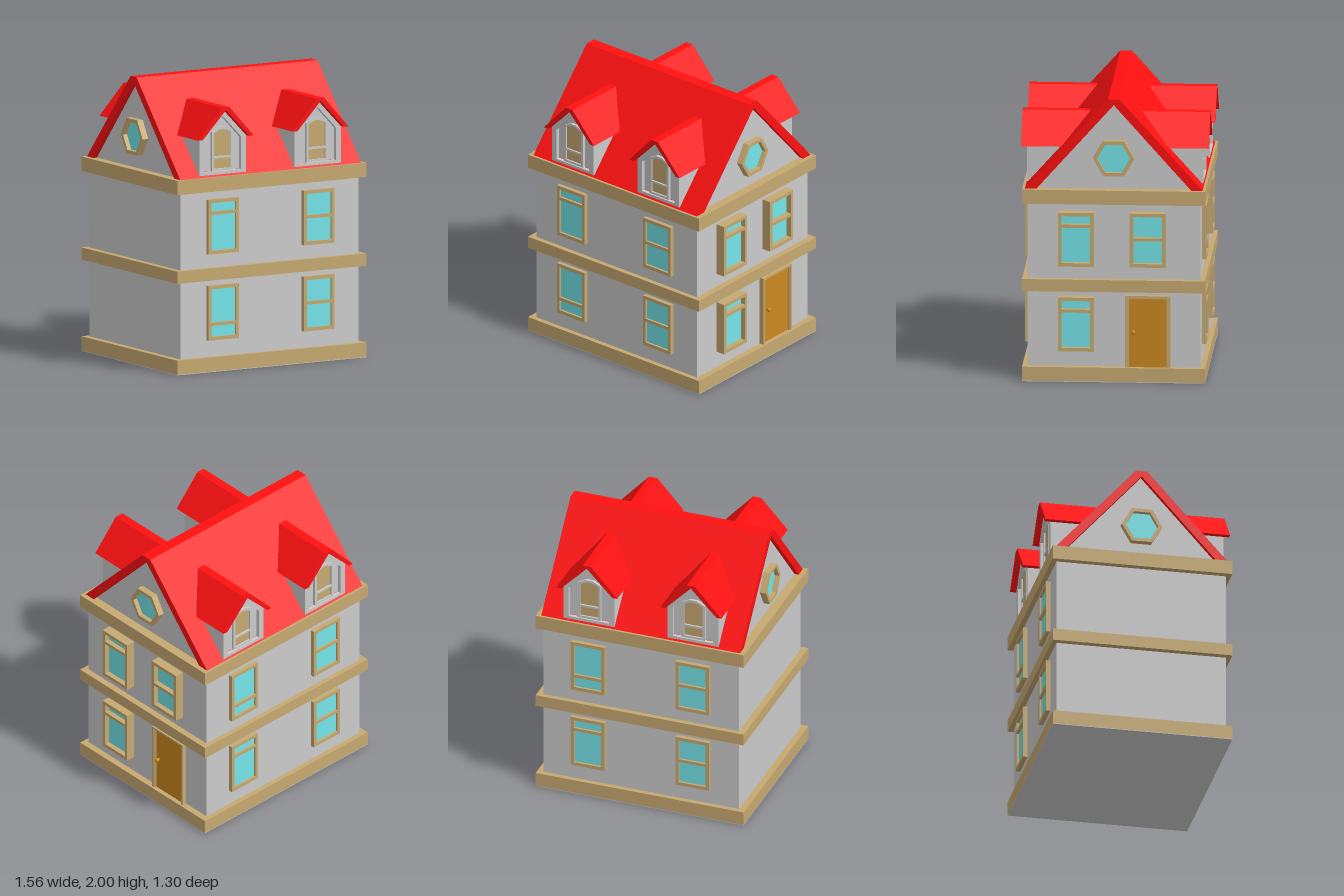
import * as THREE from 'three';

const paint = (color) => new THREE.MeshStandardMaterial({ color, flatShading: true });
const grey = paint(0xcccccc), tan = paint(0xc6a971), red = paint(0xff1010);
const glass = paint(0x74e5e9), wood = paint(0xcc8820);

function add(parent, name, geometry, material, x = 0, y = 0, z = 0) {
  const mesh = new THREE.Mesh(geometry, material);
  mesh.name = name;
  mesh.position.set(x, y, z);
  parent.add(mesh);
  return mesh;
}

function group(parent, name, x = 0, y = 0, z = 0, turn = 0) {
  const g = new THREE.Group();
  g.name = name;
  g.position.set(x, y, z);
  g.rotation.y = turn;
  parent.add(g);
  return g;
}

const box = (w, h, d) => new THREE.BoxGeometry(w, h, d);
const points = (list) => list.map(([x, y]) => new THREE.Vector2(x, y));
const rect = (w, y0, y1) => [[-w, y0], [w, y0], [w, y1], [-w, y1]];

// Extrudes an outline with optional holes from z0 to z1
function slab(outline, holes, z0, z1) {
  const shape = new THREE.Shape(points(outline));
  for (const hole of holes) shape.holes.push(new THREE.Path(points(hole)));
  const geometry = new THREE.ExtrudeGeometry(shape, { depth: z1 - z0, bevelEnabled: false });
  return geometry.translate(0, 0, z0);
}

// Inverted V with a flat ridge: outer half widths, inner half width and heights
function roofProfile(ridge, eave, inner, y0, yInner, y1) {
  return [[-eave, y0], [-inner, y0], [0, yInner], [inner, y0], [eave, y0], [ridge, y1], [-ridge, y1]];
}

// Sash window: frame with two openings divided by a bar, glass set back inside
function addWindow(facade, x, y, depth, bar) {
  const w = group(facade, 'window', x, y);
  const openings = [rect(0.1, 0.025, bar - 0.011), rect(0.1, bar + 0.011, 0.358)];
  add(w, 'windowFrame', slab(rect(0.124, 0, 0.382), openings, 0, depth), tan);
  add(w, 'windowGlass', box(0.22, 0.35, depth * 0.45), glass, 0, 0.191, depth * 0.225);
}

// Dormer: gabled body, raised surround, small arched window and its own roof
function addDormer(facade, x) {
  const d = group(facade, 'dormer', x);
  const wall = [[-0.188, 1.374], [0.188, 1.374], [0.188, 1.63], [0, 1.825], [-0.188, 1.63]];
  const recess = [[-0.148, 1.395], [0.148, 1.395], [0.148, 1.622], [0, 1.777], [-0.148, 1.622]];
  const arch = (w, y0, y1, y2) => [[-w, y0], [w, y0], [w, y1], [w * 0.3, y2], [-w * 0.3, y2], [-w, y1]];
  add(d, 'dormerBody', slab(wall, [], 0.15, 0.582), grey);
  add(d, 'dormerSurround', slab(wall, [recess], 0.582, 0.61), grey);
  add(d, 'dormerWindowFrame', slab(arch(0.085, 1.397, 1.672, 1.702),
    [rect(0.068, 1.413, 1.485), arch(0.068, 1.5, 1.662, 1.685)], 0.582, 0.602), grey);
  add(d, 'dormerShutter', slab(arch(0.075, 1.4, 1.667, 1.69), [], 0.582, 0.59), tan);
  add(d, 'dormerRoof', slab(roofProfile(0.03, 0.225, 0.188, 1.63, 1.825, 1.845), [], 0.1, 0.65), red);
}

// Hexagonal gable window, facing +z of its parent
function addGableWindow(parent) {
  const hex = (r) => Array.from({ length: 6 }, (_, i) =>
    [r * Math.cos(i * Math.PI / 3), 1.582 + r * Math.sin(i * Math.PI / 3)]);
  add(parent, 'gableWindowFrame', slab(hex(0.143), [hex(0.115)], 0.69, 0.748), tan);
  add(parent, 'gableWindowGlass', slab(hex(0.12), [], 0.69, 0.716), glass);
}

export function createModel() {
  const model = new THREE.Group();
  model.name = 'house';
  const house = group(model, 'houseBody', -0.012);

  // Walls, ground plate and horizontal bands
  add(house, 'walls', box(1.443, 1.26, 1.196), grey, 0, 0.68, 0);
  add(house, 'groundPlate', box(1.535, 0.004, 1.266), grey, 0, 0.002, 0);
  for (const [name, y0, y1] of [['baseBand', 0.004, 0.103], ['middleBand', 0.64, 0.725], ['corniceBand', 1.26, 1.36]]) {
    add(house, name, box(1.535, y1 - y0, 1.266), tan, 0, (y0 + y1) / 2, 0);
  }

  // Main roof shell and the gable filling set back inside it
  const roof = slab(roofProfile(0.04, 0.615, 0.535, 1.36, 1.96, 2), [], -0.733, 0.733);
  add(house, 'mainRoof', roof.rotateY(Math.PI / 2), red);
  const gable = slab([[-0.535, 1.36], [0.535, 1.36], [0, 1.96]], [], -0.702, 0.702);
  add(house, 'gableWalls', gable.rotateY(Math.PI / 2), grey);

  // Front and back: two windows per floor and two dormers; bar heights vary
  for (const [name, turn, upperBar, lowerBar] of [['front', 0, 0.287, 0.113], ['back', Math.PI, 0.113, 0.287]]) {
    const facade = group(house, name + 'Facade', 0, 0, 0, turn);
    const openings = group(facade, name + 'Windows', 0, 0, 0.598);
    addWindow(openings, -0.387, 0.822, 0.03, upperBar);
    addWindow(openings, -0.387, 0.22, 0.03, lowerBar);
    for (const y of [0.822, 0.22]) addWindow(openings, 0.386, y, 0.03, 0.197);
    for (const x of [-0.384, 0.384]) addDormer(facade, x);
  }

  // Gable ends
  for (const side of [1, -1]) {
    addGableWindow(group(house, side > 0 ? 'leftGable' : 'rightGable', 0, 0, 0, side * Math.PI / 2));
  }

  // Entrance side: three deep windows and the door
  const entrance = group(house, 'entranceFacade', 0.7215, 0, 0, Math.PI / 2);
  addWindow(entrance, -0.26, 0.822, 0.066, 0.287);
  addWindow(entrance, -0.26, 0.22, 0.066, 0.287);
  addWindow(entrance, 0.236, 0.822, 0.066, 0.197);
  const door = group(entrance, 'door', 0.235, 0.1);
  const frame = (w, h, iw, ih) =>
    [[-w, 0], [-iw, 0], [-iw, ih], [iw, ih], [iw, 0], [w, 0], [w, h], [-w, h]];
  add(door, 'doorFrame', slab(frame(0.155, 0.512, 0.14, 0.498), [], 0, 0.033), tan);
  add(door, 'doorInnerFrame', slab(frame(0.142, 0.5, 0.131, 0.489), [], 0, 0.024), tan);
  add(door, 'doorPanel', box(0.264, 0.49, 0.014), wood, 0, 0.245, 0.007);
  add(door, 'doorKnobStem', new THREE.CylinderGeometry(0.007, 0.007, 0.03, 8).rotateX(Math.PI / 2), wood, -0.1, 0.255, 0.025);
  add(door, 'doorKnob', new THREE.SphereGeometry(0.016, 8, 6), wood, -0.1, 0.255, 0.036);

  return model;
}
